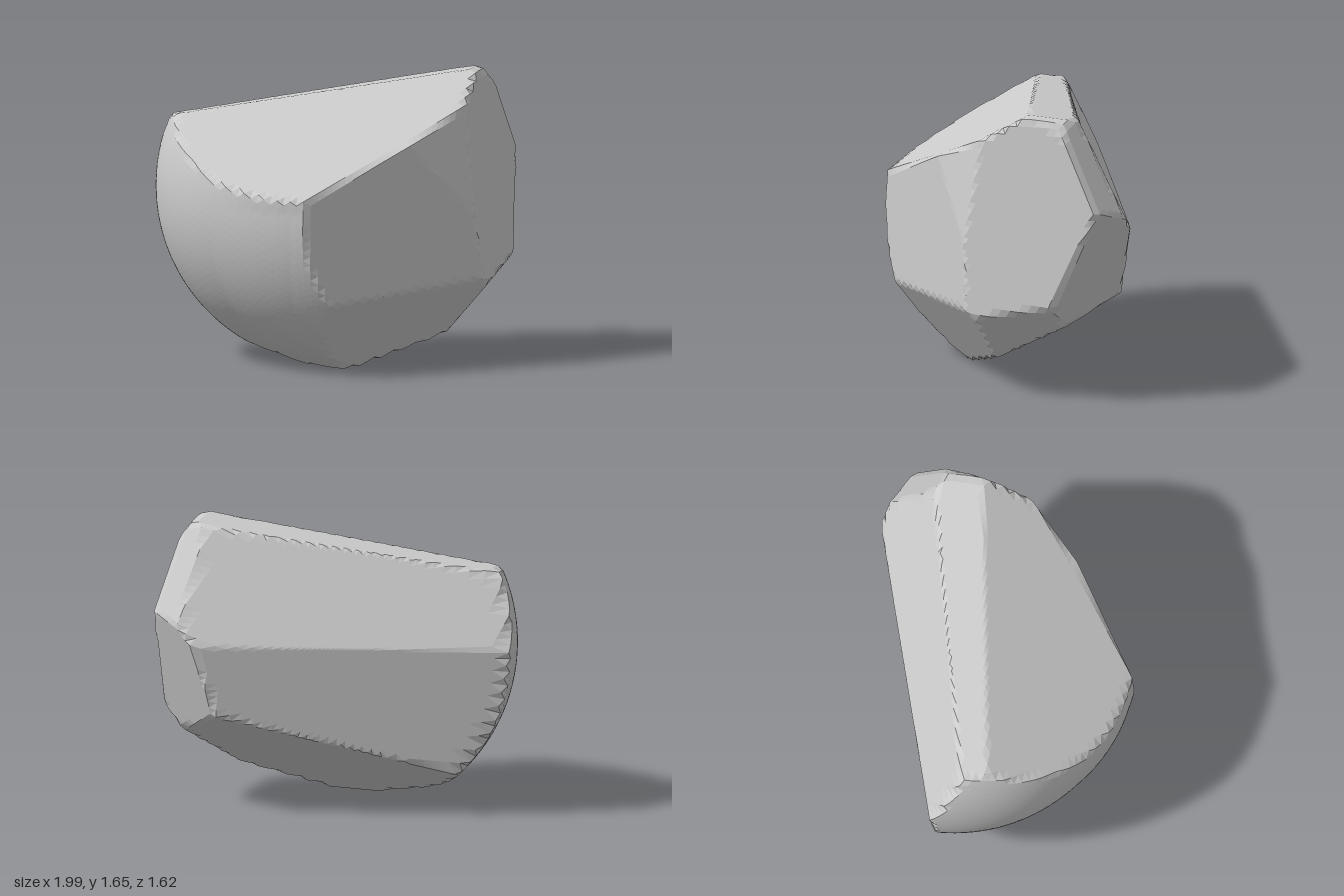
import * as THREE from 'three';

// Flat fracture faces: outward normal x, y, z and distance from the origin
const CUTS = [
  [0, 0.861, 0.508, 1.305],      // large sloping top
  [-0.17, 0.985, -0.05, 1.515],  // narrow ridge strip
  [-0.36, 0.42, -0.83, 0.86],    // upper back
  [0.3, 0.47, -0.83, 1.4],       // upper back corner
  [-0.39, -0.1, -0.91, 0.388],   // lower back
  [0.5, -0.3, -0.81, 0.685],     // lower back corner
  [0.985, 0.13, 0.09, 1.015],    // +x side
  [0.66, 0.04, 0.75, 0.705],     // front side
  [0.75, 0.175, 0.636, 0.896],   // bevel between front side and +x side
  [0.577, -0.583, 0.57, 0.285],  // lower front side
  [0.76, -0.64, -0.1, 0.42],     // lower +x side
  [0, -0.861, -0.508, -0.137],   // sloping underside
].map(([x, y, z, d]) => new THREE.Plane(new THREE.Vector3(x, y, z), -d));

const CENTRE = new THREE.Vector3(0.01, 0.97, -0.22);

// Distance from the centre to the surface: the round skin, fuller towards
// +x and the lower front, or the nearest cut
function reach(dir) {
  let r = 1.02 + 0.06 * Math.max(0, dir.x)
    + 0.2 * Math.max(0, -dir.y) * Math.max(0, dir.x + 0.6 * dir.z);
  for (const cut of CUTS) {
    const slope = cut.normal.dot(dir);
    if (slope > 1e-4) r = Math.min(r, -cut.distanceToPoint(CENTRE) / slope);
  }
  return r;
}

export function createModel() {
  const group = new THREE.Group();
  group.name = 'rockFragment';

  // Fine faceted ball, pulled in to the cuts
  const geometry = new THREE.IcosahedronGeometry(1, 26);
  const pos = geometry.attributes.position;
  const v = new THREE.Vector3();
  for (let i = 0; i < pos.count; i++) {
    v.fromBufferAttribute(pos, i).normalize();
    v.multiplyScalar(reach(v)).add(CENTRE);
    pos.setXYZ(i, v.x, v.y, v.z);
  }

  // Stand it on the ground
  geometry.computeBoundingBox();
  geometry.translate(0, -geometry.boundingBox.min.y, 0);
  geometry.computeVertexNormals();

  const material = new THREE.MeshStandardMaterial({ color: 0xcccccc, flatShading: true });
  const rock = new THREE.Mesh(geometry, material);
  rock.name = 'brokenRock';
  group.add(rock);
  return group;
}
